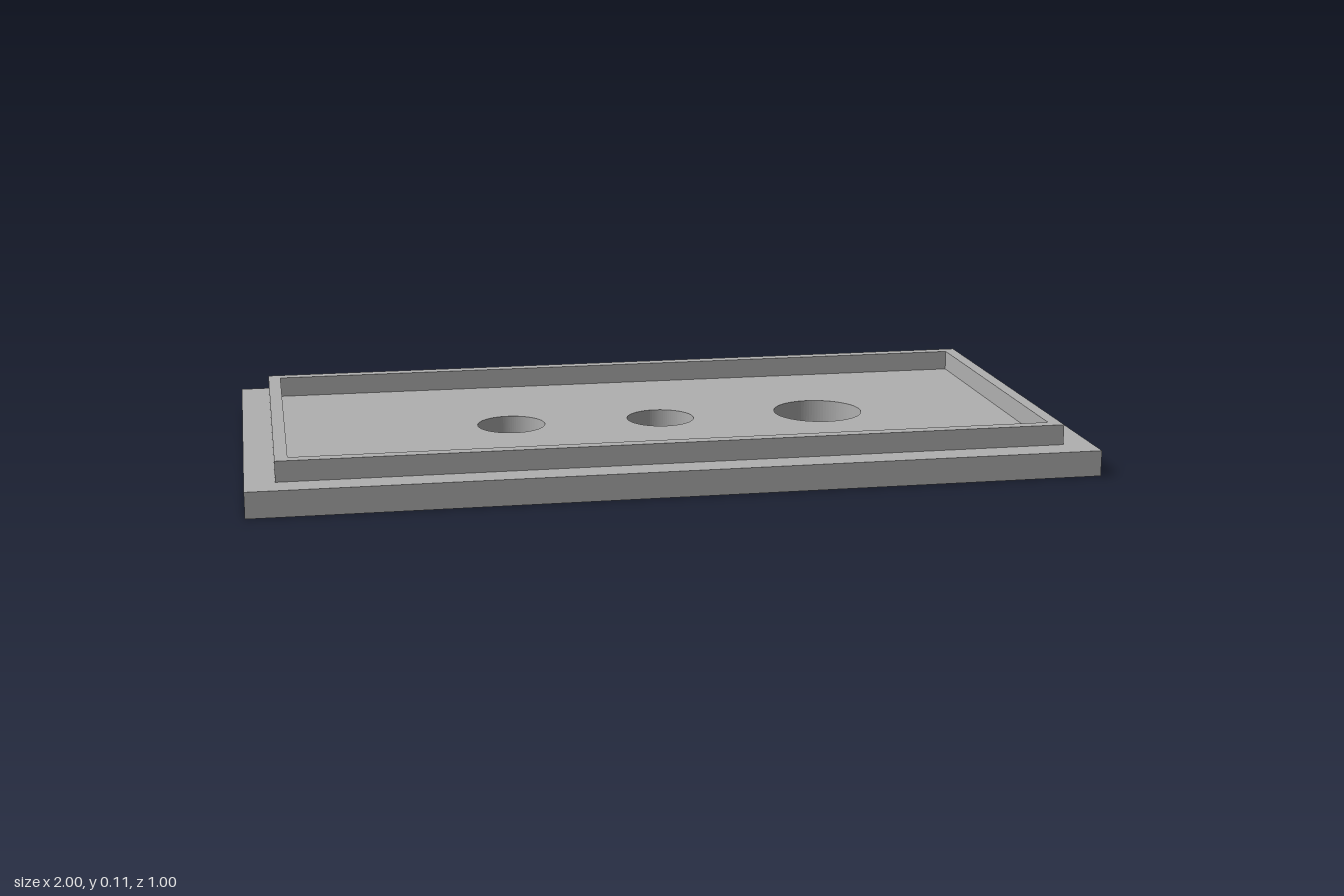
import * as THREE from 'three';

const rect = (Type, w, d) => new Type([
  new THREE.Vector2(-w / 2, -d / 2),
  new THREE.Vector2(w / 2, -d / 2),
  new THREE.Vector2(w / 2, d / 2),
  new THREE.Vector2(-w / 2, d / 2),
]);

// Extrudes a flat outline upward from height y
function slab(name, shape, y, height, material) {
  const geometry = new THREE.ExtrudeGeometry(shape, { depth: height, bevelEnabled: false, curveSegments: 48 });
  geometry.rotateX(-Math.PI / 2);
  geometry.translate(0, y, 0);
  const mesh = new THREE.Mesh(geometry, material);
  mesh.name = name;
  return mesh;
}

export function createModel() {
  const group = new THREE.Group();
  group.name = 'panelCover';
  const grey = new THREE.MeshStandardMaterial({ color: 0xb0b0b0 });
  grey.name = 'grey';

  const plateHeight = 0.062;
  const rimHeight = 0.049;

  // Base plate with three round through-holes
  const plate = rect(THREE.Shape, 2, 1);
  for (const [x, radius] of [[-0.345, 0.083], [0.03, 0.083], [0.435, 0.11]]) {
    plate.holes.push(new THREE.Path().absarc(x, 0, radius, 0, Math.PI * 2, true));
  }
  group.add(slab('basePlate', plate, 0, plateHeight, grey));

  // Thin raised rim, set in from the plate edge
  const rim = rect(THREE.Shape, 1.86, 0.86);
  rim.holes.push(rect(THREE.Path, 1.8, 0.8));
  group.add(slab('raisedRim', rim, plateHeight, rimHeight, grey));

  return group;
}
